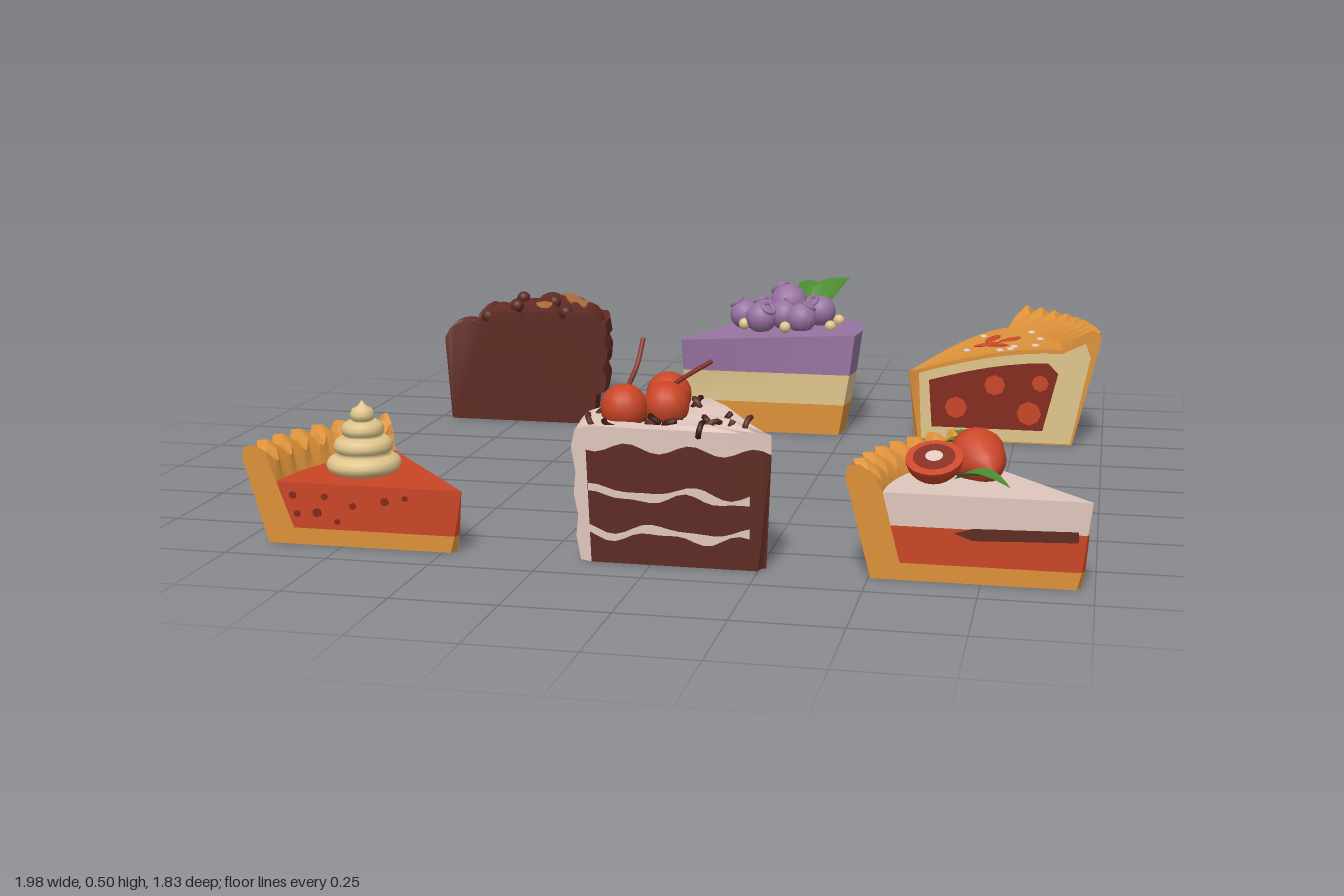
import * as THREE from 'three';
import { toCreasedNormals } from 'three/addons/utils/BufferGeometryUtils.js';

const mat = (name, color, side = THREE.FrontSide) => {
  const m = new THREE.MeshStandardMaterial({ color, side });
  m.name = name;
  return m;
};
const M = {
  chocolate: mat('chocolate', 0x5e2a22),
  dark: mat('dark chocolate', 0x3c1712),
  frosting: mat('pale frosting', 0xdfc6bc),
  cream: mat('cream', 0xdfc58c),
  crust: mat('golden crust', 0xdc9139),
  red: mat('red fruit', 0xc94526),
  deepRed: mat('deep red', 0x84291a),
  purple: mat('berry purple', 0x9873a2),
  green: mat('leaf green', 0x4c8a33, THREE.DoubleSide),
  caramel: mat('caramel', 0xa8693a),
};
const V = (x, y, z) => new THREE.Vector3(x, y, z);

function add(parent, name, geo, material, x = 0, y = 0, z = 0) {
  const m = new THREE.Mesh(geo, material);
  m.name = name;
  m.position.set(x, y, z);
  parent.add(m);
  return m;
}

// Sweeps a counter-clockwise (radius, height) profile through an angle and caps both cut ends.
// grow lifts the caps slightly past the cut faces, for inlays.
function sweep(profile, angle, { n = 16, mod = (r, y) => [r, y], grow = 0 } = {}) {
  const pos = [];
  const at = (i, t) => {
    const [r0, y0] = profile[i % profile.length];
    const [r, y] = mod(r0, y0, t);
    const a = (t - 0.5) * (angle + 2 * grow / Math.max(r, 0.03));
    return [r * Math.cos(a), y, -r * Math.sin(a)];
  };
  for (let s = 0; s < n; s++) {
    for (let i = 0; i < profile.length; i++) {
      const a = at(i, s / n), b = at(i + 1, s / n), c = at(i + 1, (s + 1) / n), d = at(i, (s + 1) / n);
      pos.push(...a, ...d, ...c, ...a, ...c, ...b);
    }
  }
  const caps = THREE.ShapeUtils.triangulateShape(profile.map(p => new THREE.Vector2(...p)), []);
  for (const [i, j, k] of caps) {
    pos.push(...at(i, 0), ...at(j, 0), ...at(k, 0), ...at(i, 1), ...at(k, 1), ...at(j, 1));
  }
  const g = new THREE.BufferGeometry();
  g.setAttribute('position', new THREE.Float32BufferAttribute(pos, 3));
  return toCreasedNormals(g, 0.7);
}

// Group with its origin at the wedge tip
function wedge(root, name, x, z, angle, flipped) {
  const g = new THREE.Group();
  g.name = name;
  g.position.set(x, 0, z);
  g.rotation.y = flipped ? Math.PI - angle / 2 : angle / 2;
  root.add(g);
  return g;
}

const line = (r0, r1, n, f) => Array.from({ length: n + 1 }, (_, i) => {
  const r = r0 + (r1 - r0) * i / n;
  return [r, f(r)];
});
const disc = (r, y, s) => Array.from({ length: 8 }, (_, i) =>
  [r + s * Math.cos(i * Math.PI / 4), y + s * Math.sin(i * Math.PI / 4)]);
const crimp = (from, count) => (r, y, t) => {
  const w = y > from && r > 0.47 ? Math.cos(t * Math.PI * 2 * count) : 0;
  return [r + w * 0.009, y + w * 0.011];
};

function leaf(root, from, to, width) {
  const len = from.distanceTo(to);
  const g = new THREE.PlaneGeometry(width, len, 2, 8).rotateX(Math.PI / 2);
  const p = g.attributes.position;
  for (let i = 0; i < p.count; i++) {
    const t = THREE.MathUtils.clamp(p.getZ(i) / len + 0.5, 0, 1);
    const x = p.getX(i) * Math.sin(Math.PI * Math.pow(t, 0.8));
    p.setXYZ(i, x, Math.abs(x) * 0.4 + Math.sin(Math.PI * t) * len * 0.12, t * len);
  }
  g.computeVertexNormals();
  add(root, 'leaf', g, M.green, from.x, from.y, from.z).lookAt(to);
}
const ball = (root, name, r, m, x, y, z) => add(root, name, new THREE.SphereGeometry(r, 16, 12), m, x, y, z);

function chocolateCake(root) {
  const A = 1.01, g = wedge(root, 'chocolateCake', -0.98, -0.48, A, false);
  const top = r => 0.245 + 0.06 * Math.min(1, r / 0.2) + 0.036 * Math.sqrt(Math.abs(Math.sin(Math.PI * r / 0.122)));
  const ripple = (r, y, t) => [r, y > 0.24 ? y + 0.005 * Math.sin(t * 19) : y];
  // Ridged outer wall and lobed top
  const profile = [[0.02, 0], [0.465, 0], [0.475, 0.09], [0.5, 0.1], [0.508, 0.14], [0.495, 0.175], [0.508, 0.19],
    [0.512, 0.23], [0.498, 0.26], [0.51, 0.275], [0.505, 0.31], ...line(0.488, 0, 32, top)];
  add(g, 'cake', sweep(profile, A, { n: 24, mod: ripple }), M.chocolate);
  // Caramel streaks lying on the lobes
  for (const [r, w, t0, t1] of [[0.425, 0.025, 0.28, 0.84], [0.305, 0.025, 0.25, 0.55]]) {
    const strip = [...line(r - w, r + w, 6, q => top(q) - 0.01), ...line(r + w, r - w, 6, q => top(q) + 0.005)];
    const taper = (q, y, t) => [r + (q - r) * (0.15 + 0.85 * Math.sin(Math.PI * t)), ripple(q, y, t0 + (t1 - t0) * t)[1]];
    const m = add(g, 'caramelStreak', sweep(strip, A * (t1 - t0), { mod: taper }), M.caramel);
    m.rotation.y = A * ((t0 + t1) / 2 - 0.5);
  }
  for (const [x, z] of [[-0.79, -0.68], [-0.69, -0.68], [-0.61, -0.53], [-0.85, -0.51], [-0.77, -0.55]])
    ball(root, 'chocolateBall', 0.02, M.chocolate, x, top(Math.hypot(x + 0.98, z + 0.48)) + 0.012, z);
}

function berryCheesecake(root) {
  const A = 1.1, g = wedge(root, 'berryCheesecake', -0.24, -0.48, A, false);
  const mod = (r, y, t) => [r * (1 + 0.11 * Math.sin(Math.PI * t) - 0.115 * t), y];
  const layers = [['baseLayer', M.crust, 0, 0.09], ['creamLayer', M.cream, 0.09, 0.18], ['berryLayer', M.purple, 0.18, 0.27]];
  for (const [name, m, y0, y1] of layers) {
    const tip = y => 0.03 * (1 - y / 0.27), rim = y => 0.475 + 0.045 * y / 0.27;
    const prof = [[tip(y0), y0], [rim(y0), y0], [rim(y1), y1 > 0.2 ? 0.3 : y1], [tip(y1), y1]];
    add(g, name, sweep(prof, A, { mod }), m);
  }
  // Berries with small crowns
  const berries = [[-0.08, 0.325, -0.65, 0.045], [-0.02, 0.325, -0.6, 0.047], [0.045, 0.355, -0.71, 0.057],
    [0.1, 0.325, -0.61, 0.045], [0.145, 0.335, -0.69, 0.047], [0.045, 0.33, -0.63, 0.045], [-0.02, 0.325, -0.67, 0.045]];
  berries.forEach(([x, y, z, r], i) => {
    const b = ball(root, 'berry', r, M.purple, x, y, z);
    add(b, 'berryCrown', new THREE.TorusGeometry(r * 0.4, r * 0.16, 6, 10).rotateX(Math.PI / 2), M.purple, 0, r * 0.95, 0);
    b.rotation.set(0.6 * Math.sin(i * 2), 0, 0.6 * Math.cos(i * 3));
  });
  for (const [x, z] of [[-0.05, -0.7], [-0.07, -0.59], [0.06, -0.555], [0.19, -0.6], [0.2, -0.71], [0.1, -0.665], [0.0, -0.74]])
    ball(root, 'pearl', 0.017, M.cream, x, 0.305, z);
  leaf(root, V(0.12, 0.32, -0.73), V(0.08, 0.4, -0.88), 0.09);
  leaf(root, V(0.13, 0.32, -0.73), V(0.21, 0.41, -0.89), 0.1);
}

function fruitPie(root) {
  const A = 0.92, g = wedge(root, 'fruitPie', 0.44, -0.48, A, false);
  const lid = r => 0.2 + 0.08 * Math.sin(Math.min(1, r / 0.42) * Math.PI / 2);
  const profile = [[0.03, 0], [0.475, 0], [0.535, 0.28], [0.54, 0.315], [0.515, 0.33], [0.47, 0.31], [0.44, 0.28],
    ...line(0.41, 0, 8, lid)];
  add(g, 'pastry', sweep(profile, A, { n: 48, mod: crimp(0.25, 8) }), M.crust);
  // Cut faces: pale pastry, filling, whole fruit
  const pale = [[0.04, 0.004], [0.47, 0.004], [0.52, 0.26], [0.505, 0.3], ...line(0.44, 0.03, 8, r => lid(r) - 0.012)];
  const filling = [[0.07, 0.04], [0.39, 0.04], [0.43, 0.21], ...line(0.4, 0.06, 6, r => lid(r) - 0.04)];
  add(g, 'pastryCut', sweep(pale, A, { grow: 0.002 }), M.cream);
  add(g, 'filling', sweep(filling, A, { grow: 0.004 }), M.deepRed);
  for (const [r, y, s] of [[0.14, 0.1, 0.032], [0.25, 0.17, 0.03], [0.35, 0.09, 0.035], [0.38, 0.18, 0.024]])
    add(g, 'fruitPiece', sweep(disc(r, y, s), A, { grow: 0.006, n: 2 }), M.red);
  // Leaf-shaped vents and sugar dots
  for (const [x, z, turn] of [[0.67, -0.665, 1.1], [0.72, -0.64, 0.5], [0.655, -0.605, 0.2], [0.69, -0.58, -0.6]]) {
    const v = ball(root, 'vent', 0.038, M.red, x, lid(Math.hypot(x - 0.44, z + 0.48)) + 0.001, z);
    v.scale.set(1, 0.12, 0.4);
    v.rotation.set(0, turn, 0.15);
  }
  for (const [x, z] of [[0.64, -0.7], [0.73, -0.51], [0.7, -0.51], [0.74, -0.54], [0.6, -0.57], [0.81, -0.64], [0.78, -0.75], [0.8, -0.54]])
    ball(root, 'sugar', 0.012, M.frosting, x, lid(Math.hypot(x - 0.44, z + 0.48)), z).scale.y = 0.5;
}

// Open pie shell with a raised crimped rim
function pieShell(g, A, fill, rim) {
  const prof = [[0.03, 0], [0.485, 0], [0.535, rim - 0.03], [0.53, rim - 0.004], [0.505, rim], [0.475, rim - 0.02],
    [0.46, fill], [0.42, 0.04], [0.02, 0.04]];
  add(g, 'crust', sweep(prof, A, { n: 48, mod: crimp(fill + 0.01, 7) }), M.crust);
}

function pumpkinPie(root) {
  const A = 0.87, g = wedge(root, 'pumpkinPie', -0.45, 0.9, A, true);
  pieShell(g, A, 0.15, 0.225);
  add(g, 'filling', sweep([[0.02, 0.04], [0.42, 0.04], [0.46, 0.15], [0, 0.15]], A), M.red);
  for (const [r, y, s] of [[0.42, 0.12, 0.009], [0.36, 0.08, 0.011], [0.34, 0.12, 0.008], [0.27, 0.1, 0.008],
    [0.19, 0.115, 0.01], [0.41, 0.075, 0.008], [0.14, 0.125, 0.007], [0.31, 0.06, 0.007]])
    add(g, 'spot', sweep(disc(r, y, s), A, { grow: 0.003, n: 2 }), M.deepRed);
  // Piped cream swirl
  const pts = [[0.001, 0.15]];
  [[0.09, 0.15], [0.072, 0.195], [0.052, 0.235], [0.03, 0.27]].forEach(([r, y]) => {
    pts.push([r - 0.016, y], [r - 0.003, y + 0.009], [r, y + 0.022], [r - 0.006, y + 0.034], [r - 0.02, y + 0.042]);
  });
  pts.push([0.006, 0.318], [0, 0.325]);
  add(root, 'whippedCream', new THREE.LatheGeometry(pts.map(p => new THREE.Vector2(...p)), 28), M.cream, -0.745, 0, 0.76);
}

function cherryCake(root) {
  const A = 1.03, g = wedge(root, 'cherryCake', 0.28, 0.9, A, true);
  const mod = (r, y, t) => [r * (1 + 0.1 * Math.sin(Math.PI * t)),
    y > 0.3 ? y + 0.008 * Math.sin(t * 14 + r * 25) : y];
  const wave = r => 0.272 + 0.011 * Math.sin(r * 42);
  add(g, 'sponge', sweep([[0.03, 0], [0.42, 0], ...line(0.43, 0, 20, wave)], A, { mod }), M.chocolate);
  const shell = [[0.42, 0], [0.445, 0.004], [0.455, 0.06], [0.45, 0.11], [0.46, 0.16], [0.455, 0.21], [0.465, 0.27],
    [0.455, 0.31], [0.42, 0.325], [0.3, 0.315], [0.15, 0.318], [0, 0.31], ...line(0, 0.43, 20, wave)];
  add(g, 'frosting', sweep(shell, A, { n: 24, mod }), M.frosting);
  // Wavy cream seams on the cut faces
  for (const [y, k] of [[0.075, 0], [0.165, 2]]) {
    const mid = r => y + 0.01 * Math.sin(r * 30 + k);
    const band = [...line(0.05, 0.425, 18, r => mid(r) - 0.008 - 0.005 * Math.sin(r * 55)),
      ...line(0.425, 0.05, 18, r => mid(r) + 0.009 + 0.005 * Math.sin(r * 47))];
    add(g, 'creamSeam', sweep(band, A, { n: 2, grow: 0.003 }), M.frosting);
  }
  for (const [x, y, z] of [[-0.01, 0.35, 0.665], [-0.085, 0.345, 0.8], [0.005, 0.345, 0.755]])
    ball(root, 'cherry', 0.055, M.red, x, y, z);
  for (const path of [[V(-0.08, 0.385, 0.79), V(-0.06, 0.44, 0.77), V(-0.055, 0.495, 0.73)],
    [V(0.01, 0.385, 0.75), V(0.05, 0.41, 0.71), V(0.095, 0.435, 0.67)]])
    add(root, 'cherryStem', new THREE.TubeGeometry(new THREE.CatmullRomCurve3(path), 10, 0.006, 6), M.deepRed);
  // Curled shavings
  let seed = 7;
  const rnd = () => (seed = (seed * 16807) % 2147483647) / 2147483647;
  for (let i = 0; i < 34; i++) {
    const r = 0.46 * Math.sqrt(0.06 + 0.9 * rnd()), a = A * (0.07 + 0.86 * rnd());
    const c = add(root, 'shaving', new THREE.TorusGeometry(0.02, 0.007, 5, 6, 2.2), i % 3 ? M.dark : M.chocolate,
      0.28 - r * Math.cos(a), 0.317, 0.9 - r * Math.sin(a));
    c.rotation.set(0.9 + rnd(), rnd() * 6, 0);
  }
}

function strawberryPie(root) {
  const A = 0.87, g = wedge(root, 'strawberryPie', 0.99, 0.9, A, true);
  pieShell(g, A, 0.2, 0.25);
  add(g, 'fruitLayer', sweep([[0.02, 0.04], [0.42, 0.04], [0.442, 0.125], [0.01, 0.125]], A), M.red);
  add(g, 'creamLayer', sweep([[0.01, 0.125], [0.442, 0.125], [0.46, 0.2], [0, 0.2]], A), M.frosting);
  add(g, 'chocolateSeam', sweep([[0.03, 0.108], [0.26, 0.1], [0.3, 0.115], [0.26, 0.127], [0.03, 0.132]], A,
    { n: 2, grow: 0.003 }), M.chocolate);
  // Whole strawberry lying on its side
  const prof = [[0, 0], [0.04, 0.003], [0.064, 0.025], [0.068, 0.05], [0.056, 0.09], [0.033, 0.125], [0.012, 0.143], [0, 0.146]];
  const berry = new THREE.LatheGeometry(prof.map(p => new THREE.Vector2(...p)), 18).rotateX(Math.PI / 2);
  add(root, 'strawberry', berry, M.red, 0.7, 0.25, 0.65).lookAt(0.76, 0.225, 0.77);
  for (const [x, y, z] of [[0.63, 0.25, 0.65], [0.66, 0.28, 0.61], [0.72, 0.28, 0.61], [0.76, 0.25, 0.63]])
    leaf(root, V(0.7, 0.262, 0.655), V(x, y, z), 0.04);
  // Halved strawberry, cut side up
  const half = new THREE.Group();
  half.name = 'halfStrawberry';
  half.position.set(0.635, 0.265, 0.82);
  half.rotation.set(0.55, 0.2, 0);
  half.scale.z = 0.85;
  add(half, 'skin', new THREE.SphereGeometry(0.065, 18, 8, 0, Math.PI * 2, Math.PI / 2, Math.PI / 2), M.red);
  [[0.065, M.red], [0.048, M.deepRed], [0.02, M.frosting]].forEach(([r, m], i) =>
    add(half, 'cutFace', new THREE.CircleGeometry(r, 18).rotateX(-Math.PI / 2), m, 0, i * 0.003, 0));
  root.add(half);
  leaf(root, V(0.68, 0.215, 0.81), V(0.81, 0.215, 0.87), 0.06);
}

export function createModel() {
  const root = new THREE.Group();
  root.name = 'dessertSlices';
  for (const build of [chocolateCake, berryCheesecake, fruitPie, pumpkinPie, cherryCake, strawberryPie]) build(root);
  return root;
}
